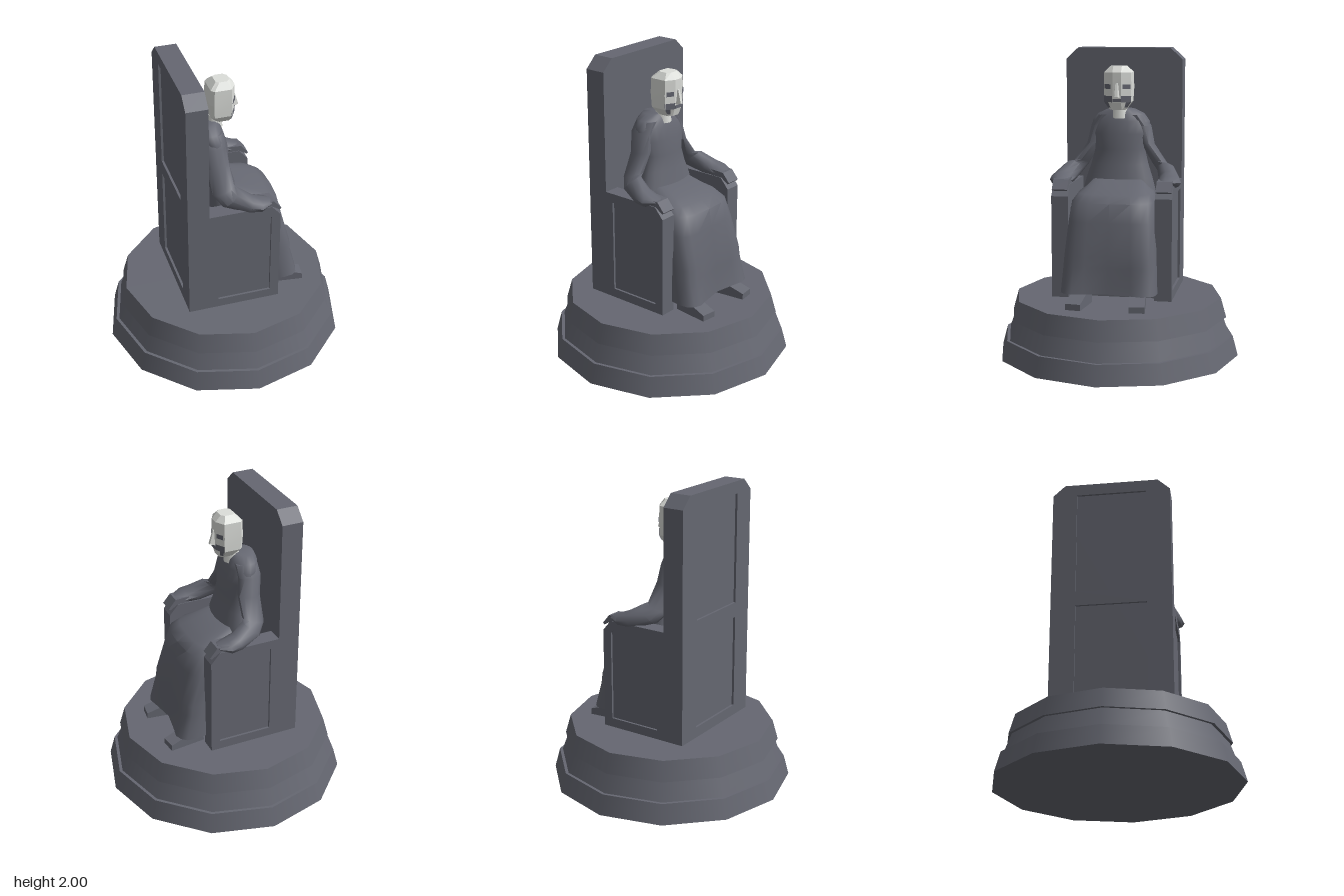
import * as THREE from 'three';
import { toCreasedNormals } from 'three/addons/utils/BufferGeometryUtils.js';

const stone = new THREE.MeshStandardMaterial({ color: 0x656771 });
stone.name = 'dark stone';
const pale = new THREE.MeshStandardMaterial({ color: 0xdcdeda });
pale.name = 'pale stone';

const V = (x, y, z) => new THREE.Vector3(x, y, z);

function add(parent, name, geometry, material = stone) {
  const mesh = new THREE.Mesh(geometry, material);
  mesh.name = name;
  parent.add(mesh);
  return mesh;
}

// Skin through rings of points, closed at both ends
function loft(rings, crease = 0.7) {
  const n = rings[0].length, last = rings.length - 1;
  const pos = [], index = [];
  rings.forEach(r => r.forEach(p => pos.push(p.x, p.y, p.z)));
  for (let i = 0; i < last; i++) {
    for (let j = 0; j < n; j++) {
      const a = i * n + j, b = i * n + (j + 1) % n;
      index.push(a, b, b + n, a, b + n, a + n);
    }
  }
  [0, last].forEach(i => {
    const c = rings[i].reduce((s, p) => s.add(p), V(0, 0, 0)).divideScalar(n);
    const k = pos.length / 3;
    pos.push(c.x, c.y, c.z);
    for (let j = 0; j < n; j++) {
      const a = i * n + j, b = i * n + (j + 1) % n;
      index.push(k, i ? a : b, i ? b : a);
    }
  });
  const g = new THREE.BufferGeometry();
  g.setAttribute('position', new THREE.Float32BufferAttribute(pos, 3));
  g.setIndex(index);
  return toCreasedNormals(g, crease);
}

const polygon = pts => new THREE.Shape(pts.map(([x, y]) => new THREE.Vector2(x, y)));

function slab(outline, holes, depth) {
  const shape = polygon(outline);
  shape.holes = holes.map(polygon);
  return new THREE.ExtrudeGeometry(shape, { depth, bevelEnabled: false });
}

// Horizontal oval ring; power below 1 squares it, dent pulls in the front centre
function oval(y, x0, x1, rz, power = 1, dent = 0, n = 20) {
  const soft = t => Math.sign(t) * Math.abs(t) ** power;
  return Array.from({ length: n }, (_, j) => {
    const a = j / n * Math.PI * 2, s = Math.sin(a), c = Math.cos(a);
    const pull = s > 0 ? dent * Math.max(0, 1 - Math.abs(c) * 1.6) : 0;
    return V((x0 + x1) / 2 + (x1 - x0) / 2 * soft(s) - pull, y, rz * soft(c));
  });
}

function buildPlinth(root) {
  [[0, 0.13, 0.8, 0.765], [0.13, 0.255, 0.745, 0.7], [0.255, 0.385, 0.72, 0.683]].forEach(([y0, y1, r0, r1], i) => {
    const g = new THREE.CylinderGeometry(r1, r0, y1 - y0, 12).translate(0, (y0 + y1) / 2, 0);
    add(root, 'plinthTier' + (i + 1), g);
  });
}

function buildThrone(root) {
  const throne = new THREE.Group();
  throne.name = 'throne';
  root.add(throne);
  // Tall back with two sunken panels behind
  const back = [[-0.39, 0.41], [0.39, 0.41], [0.39, 1.925], [0.31, 2], [-0.31, 2], [-0.39, 1.925]];
  const panel = (y0, y1) => [[-0.23, y0], [-0.23, y1], [0.23, y1], [0.23, y0]];
  add(throne, 'backSlab', slab(back, [], 0.125).rotateY(Math.PI / 2).translate(-0.335, 0, 0));
  add(throne, 'backFrame', slab(back, [panel(0.48, 1.1), panel(1.2, 1.92)], 0.015)
    .rotateY(Math.PI / 2).translate(-0.35, 0, 0));
  // Arms with a sunken panel outside
  const arm = [[-0.21, 0.41], [0.26, 0.41], [0.26, 1.07], [0.2, 1.14], [-0.21, 1.14]];
  const sunk = [[-0.155, 0.47], [-0.155, 1.08], [0.18, 1.08], [0.2, 1.06], [0.2, 0.47]];
  for (const s of [1, -1]) {
    const side = s > 0 ? 'left' : 'right';
    add(throne, side + 'Arm', slab(arm, [], 0.095).translate(0, 0, s > 0 ? 0.28 : -0.375));
    add(throne, side + 'ArmFrame', slab(arm, [sunk], 0.015).translate(0, 0, s > 0 ? 0.375 : -0.39));
  }
  add(throne, 'seat', new THREE.BoxGeometry(0.4, 0.58, 0.56).translate(-0.01, 0.7, 0));
}

function buildRobe(root) {
  add(root, 'robeTorso', loft([
    [1.05, -0.16, 0.08, 0.25], [1.16, -0.155, 0.06, 0.22], [1.25, -0.15, 0.035, 0.19],
    [1.35, -0.155, 0.02, 0.165], [1.45, -0.18, 0.012, 0.195], [1.53, -0.2, -0.01, 0.19],
    [1.575, -0.21, -0.025, 0.155], [1.605, -0.2, -0.04, 0.09], [1.615, -0.14, -0.045, 0.05],
  ].map(([y, a, b, w]) => oval(y, a, b, w)), 0.9));

  add(root, 'robeSkirt', loft([
    [0.475, 0.2, 0.46, 0.31, 0.06], [0.64, 0.17, 0.415, 0.3, 0.03], [0.71, 0.15, 0.41, 0.295, 0.025],
    [0.92, 0.05, 0.355, 0.28, 0.01], [1.04, -0.1, 0.325, 0.27, 0], [1.085, -0.1, 0.26, 0.24, 0],
    [1.115, -0.1, 0.18, 0.2, 0], [1.16, -0.1, 0.06, 0.16, 0],
  ].map(([y, a, b, w, d]) => oval(y, a, b, w, 0.6, d)), 0.8));

  // Sleeve stations: centre, in-plane half axis, half width
  const stations = [
    [-0.11, 1.57, 0.1, -0.075, 0, 0.05], [-0.11, 1.5, 0.15, -0.078, 0, 0.05],
    [-0.095, 1.38, 0.18, -0.075, -0.01, 0.045], [-0.085, 1.25, 0.265, -0.073, -0.025, 0.05],
    [-0.05, 1.215, 0.31, -0.055, -0.055, 0.06], [0.06, 1.17, 0.345, -0.02, -0.055, 0.07],
    [0.13, 1.16, 0.355, -0.005, -0.042, 0.075], [0.2, 1.165, 0.345, 0, -0.012, 0.045],
  ];
  for (const s of [1, -1]) {
    const side = s > 0 ? 'left' : 'right';
    const rings = stations.map(([x, y, z, vx, vy, w]) => {
      const ring = Array.from({ length: 10 }, (_, j) => {
        const a = j / 10 * Math.PI * 2, v = Math.sin(a);
        return V(x + vx * v, y + vy * v, s * (z + w * Math.cos(a)));
      });
      return s > 0 ? ring : ring.reverse();
    });
    add(root, side + 'Sleeve', loft(rings, 0.9));

    // Hand draped over the end of the arm
    const hand = [[0.12, 1.14], [0.2, 1.14], [0.255, 1.105], [0.265, 1.115], [0.215, 1.175], [0.12, 1.18]];
    add(root, side + 'Hand', slab(hand, [], 0.1).translate(0, 0, s > 0 ? 0.285 : -0.385));

    // Shoe, turned slightly outwards
    const shoe = [[0, 0.385], [0.24, 0.385], [0.24, 0.425], [0.1, 0.47], [0, 0.48]];
    add(root, side + 'Shoe', slab(shoe, [], 0.1).translate(0, 0, -0.05)
      .rotateY(-s * 0.12).translate(0.25, 0, s * 0.175));
  }
}

function buildHead(root) {
  const head = new THREE.Group();
  head.name = 'head';
  root.add(head);
  // Height, back, front and half width of each level
  const levels = [
    [1.61, -0.06, 0.045, 0.05], [1.66, -0.1, 0.06, 0.085], [1.75, -0.105, 0.065, 0.09],
    [1.85, -0.1, 0.065, 0.088], [1.89, -0.06, 0.03, 0.05],
  ];
  const rings = levels.map(([y, b, f, w]) => {
    const half = [[b, w * 0.75], [b + 0.02, w], [Math.min(0.03, f - 0.02), w], [f, 0.028]];
    return [...half.map(([x, z]) => V(x, y, z)), ...half.reverse().map(([x, z]) => V(x, y, -z))];
  });
  add(head, 'skullAndHair', loft(rings, 0.1), pale);
  add(head, 'neck', new THREE.CylinderGeometry(0.045, 0.055, 0.1, 8).translate(-0.06, 1.6, 0), pale);

  // Nose wedge
  add(head, 'nose', loft([
    [V(0.055, 1.685, 0.02), V(0.095, 1.695, 0.01), V(0.095, 1.695, -0.01), V(0.055, 1.685, -0.02)],
    [V(0.055, 1.785, 0.012), V(0.07, 1.785, 0.007), V(0.07, 1.785, -0.007), V(0.055, 1.785, -0.012)],
  ], 0.1), pale);

  // Thin painted plates following the slanting cheeks
  function onCheek(y, t, s) {
    let i = 0;
    while (i < levels.length - 2 && levels[i + 1][0] < y) i++;
    const k = (y - levels[i][0]) / (levels[i + 1][0] - levels[i][0]);
    const p = rings[i][2].clone().lerp(rings[i + 1][2], k);
    const q = rings[i][3].clone().lerp(rings[i + 1][3], k);
    p.lerp(q, t);
    return V(p.x + 0.004, y, s * (p.z + 0.002));
  }
  function plate(name, y0, y1, t0, t1, s) {
    const corners = [[y0, t0], [y0, t1], [y1, t1], [y1, t0]].map(([y, t]) => onCheek(y, t, s));
    if (s < 0) corners.reverse();
    const inner = corners.map(p => p.clone().add(V(-0.006, 0, 0)));
    add(head, name, loft([inner, corners].map(r => r.slice().reverse()), 0.1).clone());
    const g = new THREE.BufferGeometry().setFromPoints([0, 1, 2, 0, 2, 3].map(i => corners[i]));
    g.computeVertexNormals();
    const face = add(head, name + 'Face', g, stoneTwoSided);
    return face;
  }
  for (const s of [1, -1]) {
    const side = s > 0 ? 'left' : 'right';
    plate(side + 'Eye', 1.745, 1.775, 0.12, 0.85, s);
    plate(side + 'UpperBeard', 1.66, 1.7, 0, 1, s);
    plate(side + 'LowerBeard', 1.625, 1.66, 0, 0.5, s);
  }
  add(head, 'moustache', new THREE.BoxGeometry(0.006, 0.02, 0.056).translate(0.063, 1.672, 0));
}

const stoneTwoSided = stone.clone();
stoneTwoSided.side = THREE.DoubleSide;
stoneTwoSided.name = 'dark stone paint';

export function createModel() {
  const root = new THREE.Group();
  root.name = 'seatedStatue';
  buildPlinth(root);
  buildThrone(root);
  buildRobe(root);
  buildHead(root);
  return root;
}
